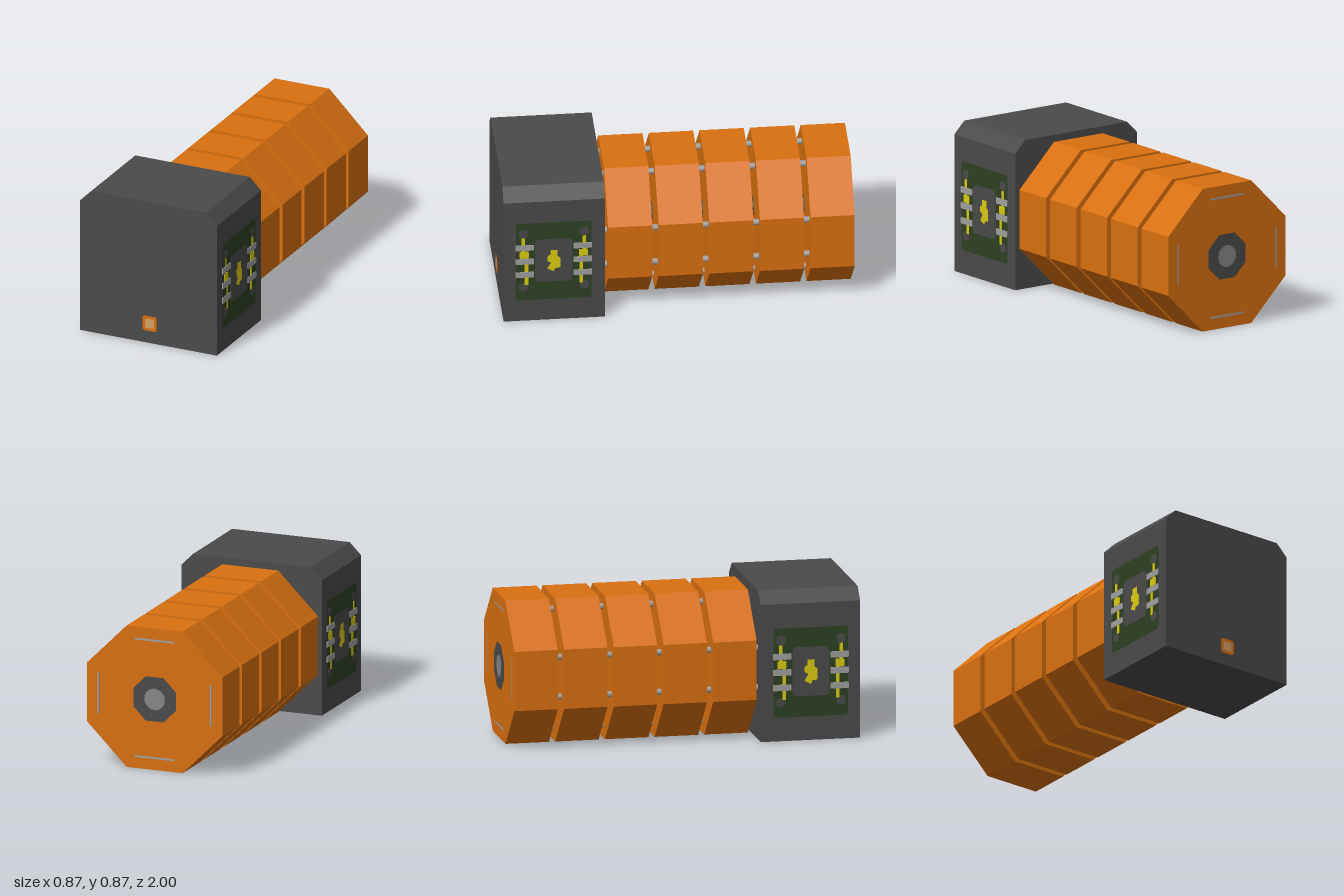
import * as THREE from 'three';

const mat = (name, color) => {
  const m = new THREE.MeshStandardMaterial({ color });
  m.name = name;
  return m;
};

export function createModel() {
  const orange = mat('orange', 0xd9700f);
  const dark = mat('dark grey', 0x4a4a4a);
  const grey = mat('light grey', 0xa0a0a0);
  const hub = mat('hub grey', 0x868686);
  const green = mat('board green', 0x2d4022);
  const yellow = mat('yellow', 0xdccb10);
  const tan = mat('tan', 0xd6a066);
  const model = new THREE.Group();
  const CY = 0.415; // axis height of the ringed body

  const add = (parent, name, geo, material, x = 0, y = 0, z = 0) => {
    const m = new THREE.Mesh(geo, material);
    m.name = name;
    m.position.set(x, y, z);
    parent.add(m);
    return m;
  };
  const extrude = (shape, depth) =>
    new THREE.ExtrudeGeometry(shape, { depth, bevelEnabled: false, curveSegments: 6 });
  const polygon = (pts) => new THREE.Shape(pts.map(([x, y]) => new THREE.Vector2(x, y)));
  // Octagon with flat sides at the given distance from its centre
  const octagon = (a) => {
    const b = a * Math.tan(Math.PI / 8);
    return polygon([[a, -b], [a, b], [b, a], [-b, a], [-a, b], [-a, -b], [-b, -a], [b, -a]]);
  };
  const roundRect = (w, h, r) => {
    const s = new THREE.Shape();
    const x = w / 2, y = h / 2;
    s.moveTo(-x + r, -y);
    s.lineTo(x - r, -y);
    s.quadraticCurveTo(x, -y, x, -y + r);
    s.lineTo(x, y - r);
    s.quadraticCurveTo(x, y, x - r, y);
    s.lineTo(-x + r, y);
    s.quadraticCurveTo(-x, y, -x, y - r);
    s.lineTo(-x, -y + r);
    s.quadraticCurveTo(-x, -y, -x + r, -y);
    return s;
  };

  // Head block with chamfered top corners
  const block = polygon([[-0.43, 0], [0.43, 0], [0.43, 0.795], [0.36, 0.865], [-0.36, 0.865], [-0.43, 0.795]]);
  add(model, 'headBlock', extrude(block, 0.575), dark, 0, 0, 0.423);

  // Front indicator lamp
  add(model, 'lampRim', extrude(roundRect(0.09, 0.09, 0.02), 0.002), orange, 0.008, 0.119, 0.998);
  add(model, 'lampLens', extrude(roundRect(0.056, 0.056, 0.012), 0.002), tan, 0.008, 0.119, 0.9992);

  // Five octagonal segments
  for (let i = 0; i < 5; i++)
    add(model, 'bodySegment', extrude(octagon(0.415), 0.251), orange, 0, CY, -0.998 + i * 0.2875);

  // Central shaft and the hub at its end
  add(model, 'shaft', extrude(octagon(0.05), 1.44), dark, 0, CY, -0.99);
  add(model, 'hubPlate', extrude(octagon(0.13), 0.01), dark, 0, CY, -0.999);
  const cap = add(model, 'hubCap', new THREE.CylinderGeometry(0.063, 0.063, 0.01, 20), hub, 0, CY, -0.995);
  cap.rotation.x = Math.PI / 2;

  // Four staples: two long rods each, joined by a bar on the end face
  for (let k = 0; k < 4; k++) {
    const staple = new THREE.Group();
    staple.name = 'staple';
    staple.position.y = CY;
    staple.rotation.z = (k * Math.PI) / 2;
    for (const s of [-1, 1]) {
      const rod = add(staple, 'stapleRod', new THREE.CylinderGeometry(0.018, 0.018, 1.42, 8), grey, s * 0.115, 0.345, -0.28);
      rod.rotation.x = Math.PI / 2;
    }
    add(staple, 'stapleBar', new THREE.BoxGeometry(0.24, 0.011, 0.004), grey, 0, 0.345, -0.9975);
    model.add(staple);
  }

  // Circuit panel on each side of the head, drawn in its own flat frame
  for (const side of [1, -1]) {
    const panel = new THREE.Group();
    panel.name = side > 0 ? 'leftCircuitPanel' : 'rightCircuitPanel';
    panel.position.set(side * 0.43, 0.395, 0.713);
    panel.rotation.y = (side * Math.PI) / 2;
    const plate = (name, shape, material, x, y, depth) =>
      add(panel, name, extrude(shape, depth), material, x, y, 0);

    plate('board', roundRect(0.43, 0.516, 0.02), green, 0, 0, 0.001);
    plate('chip', roundRect(0.214, 0.285, 0.035), dark, 0, 0.004, 0.002);
    // Stepped contact in the middle of the chip
    const contact = polygon([[-0.037, -0.05], [0, -0.07], [0.008, -0.05], [0.037, -0.045], [0.037, 0.02],
      [0.02, 0.03], [0.02, 0.072], [-0.02, 0.072], [-0.02, 0.04], [-0.037, 0.03], [-0.037, 0], [-0.015, -0.012]]);
    plate('chipContact', contact, yellow, 0, 0, 0.003);

    for (const s of [-1, 1]) {
      for (const y of [0.188, -0.17])
        plate('mountHole', roundRect(0.054, 0.054, 0.025), dark, s * 0.174, y, 0.002);
      for (const y of [0.095, 0.003, -0.085])
        plate('pin', roundRect(0.106, 0.036, 0.004), grey, s * 0.165, y, 0.005);
      plate('upperTrace', roundRect(0.02, 0.11, 0.003), yellow, s * 0.174, 0.105, 0.003);
      plate('traceJoint', roundRect(0.052, 0.045, 0.008), yellow, s * 0.168, 0.047, 0.0035);
      plate('lowerTrace', roundRect(0.02, 0.19, 0.003), yellow, s * 0.155, -0.06, 0.003);
    }
    model.add(panel);
  }
  return model;
}
